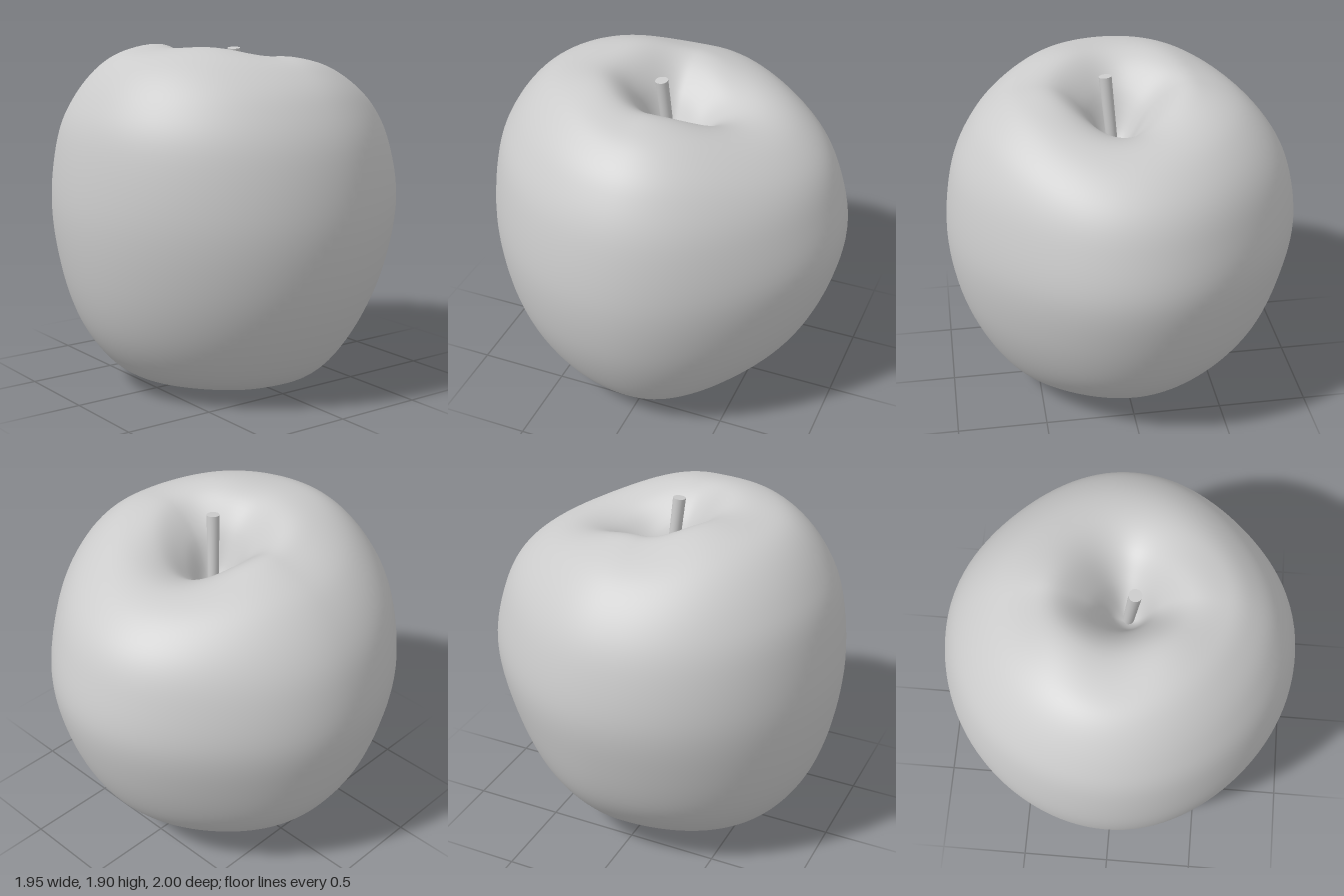
import * as THREE from 'three';
import { mergeVertices } from 'three/addons/utils/BufferGeometryUtils.js';

const material = new THREE.MeshStandardMaterial({ color: 0xcccccc, roughness: 0.8 });

// Half profiles (radius, height) running from the stem hollow, over the shoulder, to the base hollow
const profile = (points) => new THREE.SplineCurve(points.map(([r, y]) => new THREE.Vector2(r, y)));
const front = profile([
  [0, 1.45], [0.07, 1.52], [0.18, 1.75], [0.34, 1.88], [0.57, 1.875], [0.73, 1.8], [0.87, 1.63], [0.96, 1.41], [1, 1.04],
  [0.96, 0.68], [0.87, 0.39], [0.73, 0.18], [0.57, 0.07], [0.34, 0.005], [0.2, 0.03], [0.08, 0.11], [0, 0.13],
]);
const back = profile([
  [0, 1.45], [0.07, 1.47], [0.18, 1.58], [0.32, 1.68], [0.5, 1.715], [0.68, 1.66], [0.845, 1.52], [0.94, 1.33], [0.995, 1.06],
  [0.94, 0.76], [0.82, 0.47], [0.66, 0.26], [0.44, 0.085], [0.23, 0.01], [0.15, 0.04], [0.08, 0.11], [0, 0.13],
]);
const left = profile([
  [0, 1.45], [0.07, 1.5], [0.18, 1.7], [0.36, 1.84], [0.55, 1.84], [0.69, 1.77], [0.82, 1.63], [0.93, 1.39], [0.975, 1.03],
  [0.93, 0.69], [0.82, 0.4], [0.66, 0.16], [0.48, 0.05], [0.25, 0.005], [0.16, 0.04], [0.08, 0.11], [0, 0.13],
]);
const right = profile([
  [0, 1.45], [0.07, 1.5], [0.18, 1.69], [0.33, 1.82], [0.48, 1.81], [0.67, 1.72], [0.83, 1.55], [0.93, 1.34], [0.975, 1.05],
  [0.93, 0.76], [0.83, 0.46], [0.67, 0.24], [0.46, 0.08], [0.28, 0.02], [0.16, 0.04], [0.08, 0.11], [0, 0.13],
]);

const bump = (v, centre, width) => Math.exp(-(((v - centre) / width) ** 2));

// Skin: a sphere whose vertices follow the four blended profiles
function createSkin() {
  const geometry = new THREE.SphereGeometry(1, 112, 96);
  const pos = geometry.attributes.position;
  const uv = geometry.attributes.uv;
  for (let i = 0; i < pos.count; i++) {
    const angle = Math.atan2(pos.getZ(i), pos.getX(i));
    const c = Math.cos(angle), s = Math.sin(angle);
    const t = THREE.MathUtils.clamp(1 - uv.getY(i), 0, 1);
    const a = (c > 0 ? left : right).getPoint(t);
    const b = (s > 0 ? front : back).getPoint(t);
    let r = a.x * c * c + b.x * s * s;
    let y = a.y * c * c + b.y * s * s;

    // Slightly flattened back corners, raised front shoulders, soft lobes under the base
    const diagonal = Math.sin(2 * angle) ** 2;
    r *= 1 - diagonal * (s < 0 ? 0.045 : c > 0 ? 0.02 : 0);
    if (s > 0) y += 0.03 * diagonal * bump(t, 0.2, 0.08);
    y += 0.012 * (1 + Math.cos(5 * angle + 1)) * bump(t, 0.82, 0.05);

    // The stem hollow sits a little off the axis
    const shift = t < 0.5 ? 0.04 * bump(r, 0, 0.25) : 0;
    pos.setXYZ(i, r * c + shift, y, r * s);
  }
  geometry.deleteAttribute('uv');
  geometry.deleteAttribute('normal');
  const welded = mergeVertices(geometry, 1e-4);
  welded.computeVertexNormals();
  return new THREE.Mesh(welded, material);
}

// Stem: a leaning, slightly flared rod with a flat cut end
function createStem() {
  const base = new THREE.Vector3(0.04, 1.4, -0.015);
  const tip = new THREE.Vector3(0.08, 1.88, 0.025);
  const axis = tip.clone().sub(base);
  const mesh = new THREE.Mesh(new THREE.CylinderGeometry(0.035, 0.029, axis.length(), 20), material);
  mesh.position.copy(base).add(tip).multiplyScalar(0.5);
  mesh.quaternion.setFromUnitVectors(new THREE.Vector3(0, 1, 0), axis.normalize());
  return mesh;
}

// Calyx: the small dried nub in the base hollow
function createCalyx() {
  const mesh = new THREE.Mesh(new THREE.SphereGeometry(0.065, 20, 12), material);
  mesh.scale.set(1, 0.5, 1);
  mesh.position.set(0, 0.105, 0);
  return mesh;
}

export function createModel() {
  const apple = new THREE.Group();
  apple.name = 'apple';
  const parts = { skin: createSkin(), stem: createStem(), calyx: createCalyx() };
  for (const [name, mesh] of Object.entries(parts)) {
    mesh.name = name;
    apple.add(mesh);
  }
  return apple;
}
